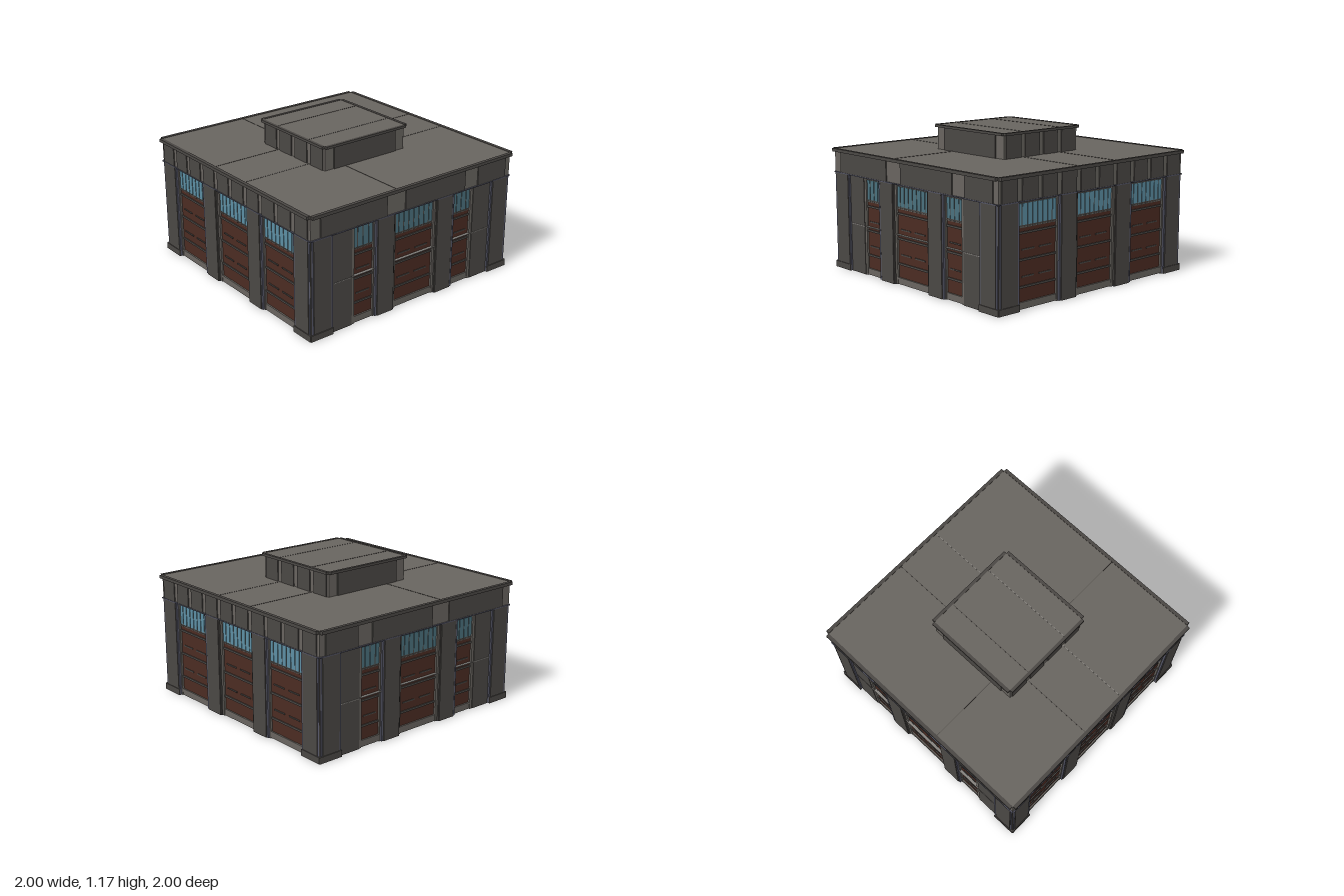
import * as THREE from 'three';

const mat = (name, color) => {
  const m = new THREE.MeshStandardMaterial({ color });
  m.name = name;
  return m;
};

export function createModel() {
  const dark = mat('dark concrete', 0x4a4744);
  const light = mat('light concrete', 0x68645f);
  const brown = mat('brown door', 0x4b2b22);
  const glass = mat('side glass', 0x5c8ea3);
  const glassDim = mat('front glass', 0x4a707d);
  const steel = mat('blue steel', 0x565767);
  const seam = mat('pale seam', 0x85827e);

  const root = new THREE.Group();
  root.name = 'building';

  // box given by its min and max on each axis
  const box = (parent, name, m, x0, x1, y0, y1, z0, z1) => {
    const mesh = new THREE.Mesh(new THREE.BoxGeometry(x1 - x0, y1 - y0, z1 - z0), m);
    mesh.position.set((x0 + x1) / 2, (y0 + y1) / 2, (z0 + z1) / 2);
    mesh.name = name;
    parent.add(mesh);
    return mesh;
  };

  // pillar grid, with steel undersides
  const spans = [[-0.972, -0.79], [-0.375, -0.205], [0.205, 0.375], [0.79, 0.972]];
  spans.forEach(([x0, x1]) => spans.forEach(([z0, z1]) => {
    box(root, 'pillar', dark, x0, x1, 0.006, 0.78, z0, z1);
    box(root, 'pillarFoot', steel, x0, x1, 0, 0.006, z0, z1);
  }));

  // partition walls between the inner pillars
  const bays = [[-0.79, -0.375], [-0.205, 0.205], [0.375, 0.79]];
  for (const [a, b] of bays) for (const [c, d] of [spans[1], spans[2]]) {
    box(root, 'partition', dark, a, b, 0, 0.78, c + 0.01, d - 0.01);
    box(root, 'partition', dark, c + 0.01, d - 0.01, 0, 0.78, a, b);
  }

  // roll-up door with sill, rails, handles and a window row
  const door = (parent, x0, x1, paneMat) => {
    const g = new THREE.Group();
    g.name = 'door';
    parent.add(g);
    const f = 0.945;
    box(g, 'doorLeaf', brown, x0, x1, 0, 0.585, 0.79, f);
    box(g, 'windowFrame', dark, x0, x1, 0.585, 0.78, 0.79, f);
    box(g, 'sill', light, x0, x1, 0.004, 0.055, f, f + 0.012);
    for (const y of [0.162, 0.358, 0.551]) box(g, 'rail', dark, x0, x1, y - 0.008, y + 0.008, f, f + 0.008);
    const w = x1 - x0, c = (x0 + x1) / 2;
    const handles = w > 0.3 ? [-0.09, 0.08] : [0];
    for (const y of [0.235, 0.43]) for (const h of handles)
      box(g, 'handle', dark, c + h - 0.06, c + h + 0.06, y - 0.005, y + 0.005, f, f + 0.006);
    const n = Math.round(w / 0.051), p = w / n;
    for (let i = 0; i < n; i++) {
      const x = x0 + i * p;
      box(g, 'pane', paneMat, x + 0.005, x + p - 0.005, 0.605, 0.758, f, f + 0.004);
      box(g, 'paneLedge', light, x + 0.005, x + p - 0.005, 0.588, 0.594, f, f + 0.004);
    }
    for (const x of [x0, x1]) box(g, 'jamb', light, x - 0.012, x + 0.012, 0, 0.78, 0.8, f + 0.015);
  };

  // raised dark panels between light gaps on a wall band
  const panels = (parent, ranges, y0, y1, z) => {
    for (const [a, b] of ranges) box(parent, 'bandPanel', dark, a, b, y0, y1, z, z + 0.009);
  };
  const ribs = (half, pitch) => {
    const out = [], n = Math.floor(half / pitch);
    for (let i = -n; i < n; i++) out.push([i * pitch + 0.022, (i + 1) * pitch - 0.022]);
    if (half - n * pitch > 0.05) out.push([-half, -n * pitch - 0.022], [n * pitch + 0.022, half]);
    return out;
  };

  // one facade, built facing +z and then turned into place
  const facade = (name, angle, narrow, sx) => {
    const g = new THREE.Group();
    g.name = name;
    root.add(g);
    const paneMat = narrow ? glassDim : glass;
    door(g, -0.197, 0.197, paneMat);
    for (const s of [-1, 1]) {
      const a = narrow ? 0.385 : 0.387, b = narrow ? 0.585 : 0.778;
      door(g, s > 0 ? a : -b, s > 0 ? b : -a, paneMat);
      if (narrow) {
        const [x0, x1] = s > 0 ? [0.597, 0.775] : [-0.775, -0.597];
        box(g, 'sidePier', dark, x0, x1, 0, 0.78, 0.79, 0.965);
      }
      // pilaster faces and steel edge strips
      box(g, 'pilaster', dark, s * 0.29 - 0.077, s * 0.29 + 0.077, 0, 0.775, 0.97, 0.979);
      box(g, 'pilaster', dark, s * 0.872 - 0.077, s * 0.872 + 0.077, 0, 0.775, 0.97, 0.979);
      for (const x of [0.38, 0.786, 0.958])
        box(g, 'steelStrip', steel, s * x - 0.007, s * x + 0.007, 0.002, 0.778, 0.95, 0.975);
      box(g, 'cornerFooting', dark, s * 0.88 - 0.1, s * 0.88 + 0.1, 0, 0.05, 0.96, 0.985);
    }
    if (narrow) box(g, 'seamLine', seam, -0.775, 0.775, 0.386, 0.392, 0.945, 0.968);
    box(g, 'bandLine', steel, -0.975, 0.975, 0.776, 0.784, 0.96, 0.983);

    // upper band
    const ranges = narrow
      ? [[-0.888, -0.285], [-0.11, 0.49], [0.625, 0.922]].map(([a, b]) => (sx > 0 ? [a, b] : [-b, -a]))
      : ribs(0.97, 0.194);
    panels(g, ranges, 0.784, 0.948, 0.971);

    // penthouse wall
    panels(g, narrow ? [[-0.305, 0.3]] : ribs(0.388, 0.194), 0.968, 1.15, 0.386);

    // roof edge trims
    box(g, 'roofTrim', dark, -0.97, 0.97, 0.947, 0.972, 0.972, 1);
    box(g, 'penthouseTrim', dark, -0.39, 0.39, 1.146, 1.166, 0.39, 0.415);
    g.rotation.y = angle;
  };
  facade('frontFacade', 0, true, 1);
  facade('backFacade', Math.PI, true, -1);
  facade('leftFacade', Math.PI / 2, false, 1);
  facade('rightFacade', -Math.PI / 2, false, 1);

  // band, penthouse and roofs
  box(root, 'upperBand', light, -0.972, 0.972, 0.78, 0.947, -0.972, 0.972);
  box(root, 'roof', light, -0.978, 0.978, 0.947, 0.968, -0.978, 0.978);
  box(root, 'penthouse', light, -0.387, 0.387, 0.968, 1.148, -0.387, 0.387);
  box(root, 'penthouseRoof', light, -0.393, 0.393, 1.148, 1.163, -0.393, 0.393);

  // roof seams
  for (const s of [-1, 1]) {
    box(root, 'roofSeam', s > 0 ? seam : dark, -0.97, 0.97, 0.967, 0.97, s * 0.195 - 0.002, s * 0.195 + 0.002);
    box(root, 'penthouseSeam', s > 0 ? seam : dark, -0.39, 0.39, 1.162, 1.165, s * 0.195 - 0.002, s * 0.195 + 0.002);
  }
  box(root, 'roofSeam', dark, -0.199, -0.195, 0.967, 0.97, -0.97, 0.97);

  return root;
}
